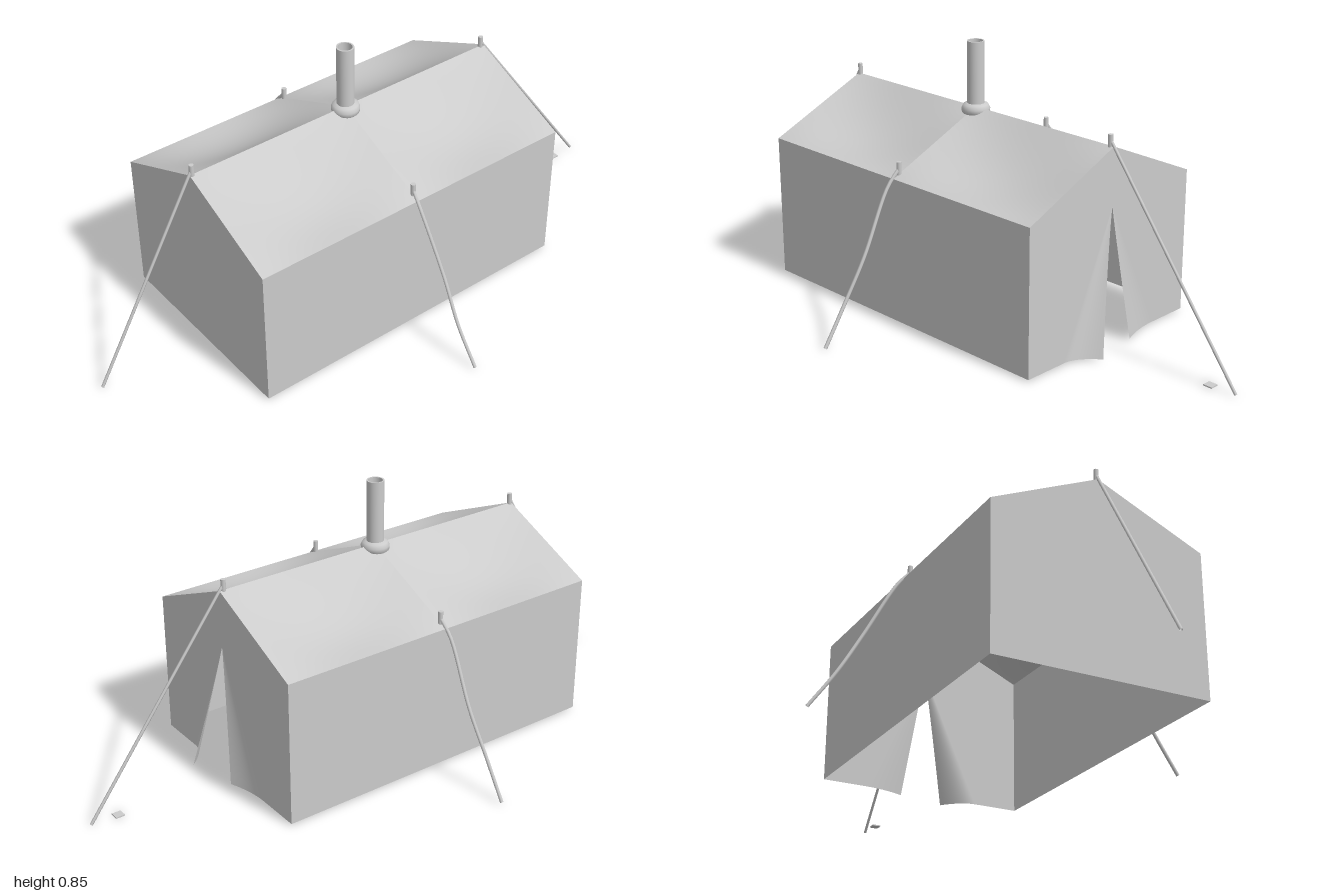
import * as THREE from 'three';

const W = 0.355, EAVE = 0.48, RIDGE = 0.637, BASE = 0.006;
const FRONT = 0.632, BACK = -0.52, MID = 0.057, DOOR = 0.45;

const canvas = new THREE.MeshStandardMaterial({ color: 0xcccccc, side: THREE.DoubleSide });

export function createModel() {
  const tent = new THREE.Group();
  tent.name = 'tent';

  const add = (name, geometry, x = 0, y = 0, z = 0) => {
    const mesh = new THREE.Mesh(geometry, canvas);
    mesh.name = name;
    mesh.position.set(x, y, z);
    tent.add(mesh);
    return mesh;
  };

  // A grid sheet bent by a rule point(u, v) -> [x, y, z]
  const sheet = (nu, nv, point) => {
    const g = new THREE.PlaneGeometry(1, 1, nu, nv);
    const p = g.attributes.position;
    for (let i = 0; i < p.count; i++) p.setXYZ(i, ...point(p.getX(i) + 0.5, p.getY(i) + 0.5));
    g.computeVertexNormals();
    return g;
  };

  const outline = (points) =>
    new THREE.ShapeGeometry(new THREE.Shape(points.map(([x, y]) => new THREE.Vector2(x, y))));

  // Front wall, and the gable over the back door
  const gable = [[W, EAVE], [0, RIDGE], [-W, EAVE]];
  add('frontWall', outline([[-W, BASE], [W, BASE], ...gable]), 0, 0, FRONT);
  add('backGable', outline([[-W, DOOR], [W, DOOR], ...gable]), 0, 0, BACK).rotation.y = Math.PI;

  for (const side of [1, -1]) {
    const label = side > 0 ? 'left' : 'right';
    const mirror = ([x, y, z]) => [side * x, y, z];
    // Reversing u on the mirrored side keeps the winding outward
    const along = (u) => (side > 0 ? u : 1 - u);

    add(label + 'Wall', sheet(1, 1, (u, v) => mirror([
      W, BASE + (EAVE - BASE) * v, FRONT + (BACK - FRONT) * along(u),
    ])));

    // Two sagging roof panels, stretched tight over the middle frame
    for (const [name, z0, z1] of [['Front', FRONT, MID], ['Back', MID, BACK]]) {
      add(label + 'Roof' + name, sheet(20, 16, (u, v) => mirror([
        W * (1 - v),
        EAVE + (RIDGE - EAVE) * v - 0.043 * Math.sin(Math.PI * u) * Math.sin(Math.PI * v),
        z0 + (z1 - z0) * along(u),
      ])));
    }

    // Half of the back wall, its inner edge folded outward as a door flap
    const [cornerX, flare, hinge] = side > 0 ? [0.1, 0.066, 0.2] : [0.065, 0.03, 0.21];
    add(label + 'DoorFlap', sheet(20, 14, (u, v) => {
      const a = along(u), t = 1 - v;
      const s = Math.max(0, (a - 0.4) / 0.6);
      const hingeX = hinge * t, edgeX = cornerX * t;
      const x = a < 0.4 ? W + (hingeX - W) * (a / 0.4) : hingeX + (edgeX - hingeX) * s;
      return mirror([x, BASE + (DOOR - BASE) * v, BACK - flare * Math.pow(t, 1.15) * s * s]);
    }));

    // Side pole tip and slack guy rope
    add(label + 'PoleTip', new THREE.CylinderGeometry(0.008, 0.008, 0.06, 10), side * 0.33, 0.5, MID);
    const slack = new THREE.CatmullRomCurve3([
      [0.33, 0.508, MID], [0.375, 0.455, 0.062], [0.48, 0.262, 0.054],
      [0.56, 0.125, 0.06], [0.642, 0.006, MID],
    ].map((p) => new THREE.Vector3(...mirror(p))));
    add(label + 'GuyRope', new THREE.TubeGeometry(slack, 24, 0.006, 6));
  }

  // Ridge pole tips with taut guy ropes at both ends
  for (const [name, z, end] of [['front', 0.624, 0.997], ['back', -0.506, -0.997]]) {
    add(name + 'PoleTip', new THREE.CylinderGeometry(0.008, 0.008, 0.06, 10), 0, 0.642, z);
    const taut = new THREE.LineCurve3(new THREE.Vector3(0, 0.655, z), new THREE.Vector3(0, 0.004, end));
    add(name + 'GuyRope', new THREE.TubeGeometry(taut, 1, 0.005, 6));
  }

  // Small ground plate under the back rope
  add('groundPlate', new THREE.BoxGeometry(0.028, 0.004, 0.03), 0, 0.003, -0.907);

  // Hollow stovepipe with a rounded collar at the ridge
  const profile = (points) =>
    new THREE.LatheGeometry(points.map(([r, y]) => new THREE.Vector2(r, y)), 24);
  add('stovepipe', profile([[0.028, 0.6], [0.028, 0.853], [0.028, 0.853], [0.023, 0.853],
    [0.023, 0.853], [0.023, 0.6]]), 0, 0, MID);
  add('pipeCollar', profile([[0.036, 0.612], [0.045, 0.622], [0.046, 0.635], [0.04, 0.647],
    [0.028, 0.651]]), 0, 0, MID);

  return tent;
}
